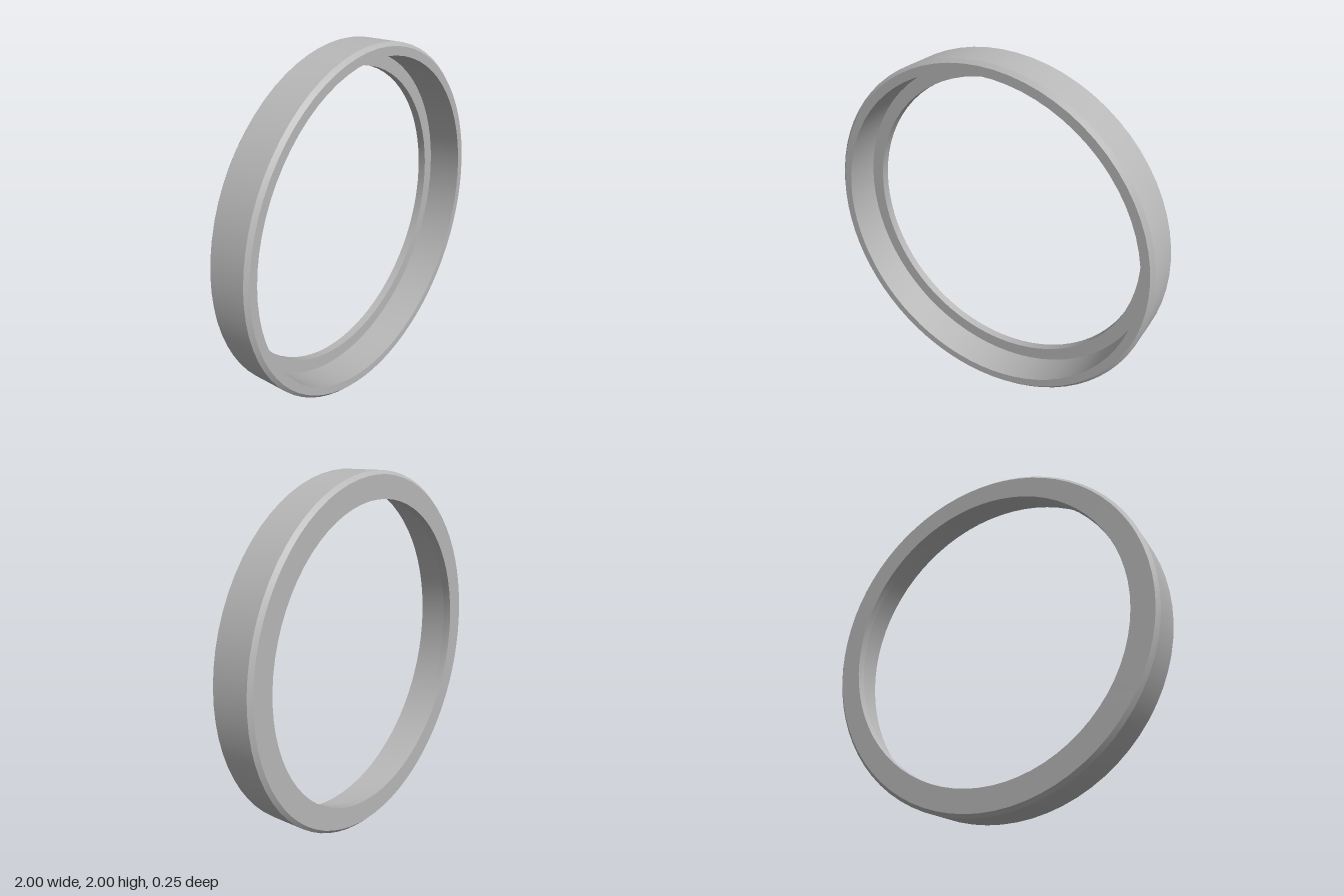
import * as THREE from 'three';
import { toCreasedNormals } from 'three/addons/utils/BufferGeometryUtils.js';

export function createModel() {
  const group = new THREE.Group();
  group.name = 'steppedRing';

  const metal = new THREE.MeshStandardMaterial({ color: 0xb8b8b8 });
  metal.name = 'grey metal';

  // Ring dimensions
  const outer = 1, bore = 0.932, lipBore = 0.855;
  const half = 0.125, bevel = 0.02, lip = 0.047;

  // Closed cross-section (radius, depth): bevelled outside, stepped inside
  const profile = [
    [lipBore, -half],
    [outer - bevel, -half],
    [outer, -half + bevel],
    [outer, half - bevel],
    [outer - bevel, half],
    [bore, half],
    [bore, -half + lip],
    [lipBore, -half + lip],
    [lipBore, -half],
  ].map(([r, d]) => new THREE.Vector2(r, d));

  // Turn the profile, then stand the ring up with its open recess facing +z
  const lathe = new THREE.LatheGeometry(profile, 72);
  lathe.rotateX(Math.PI / 2);
  const ring = new THREE.Mesh(toCreasedNormals(lathe, 0.4), metal);
  ring.name = 'ring';
  ring.position.y = outer;
  group.add(ring);

  return group;
}
